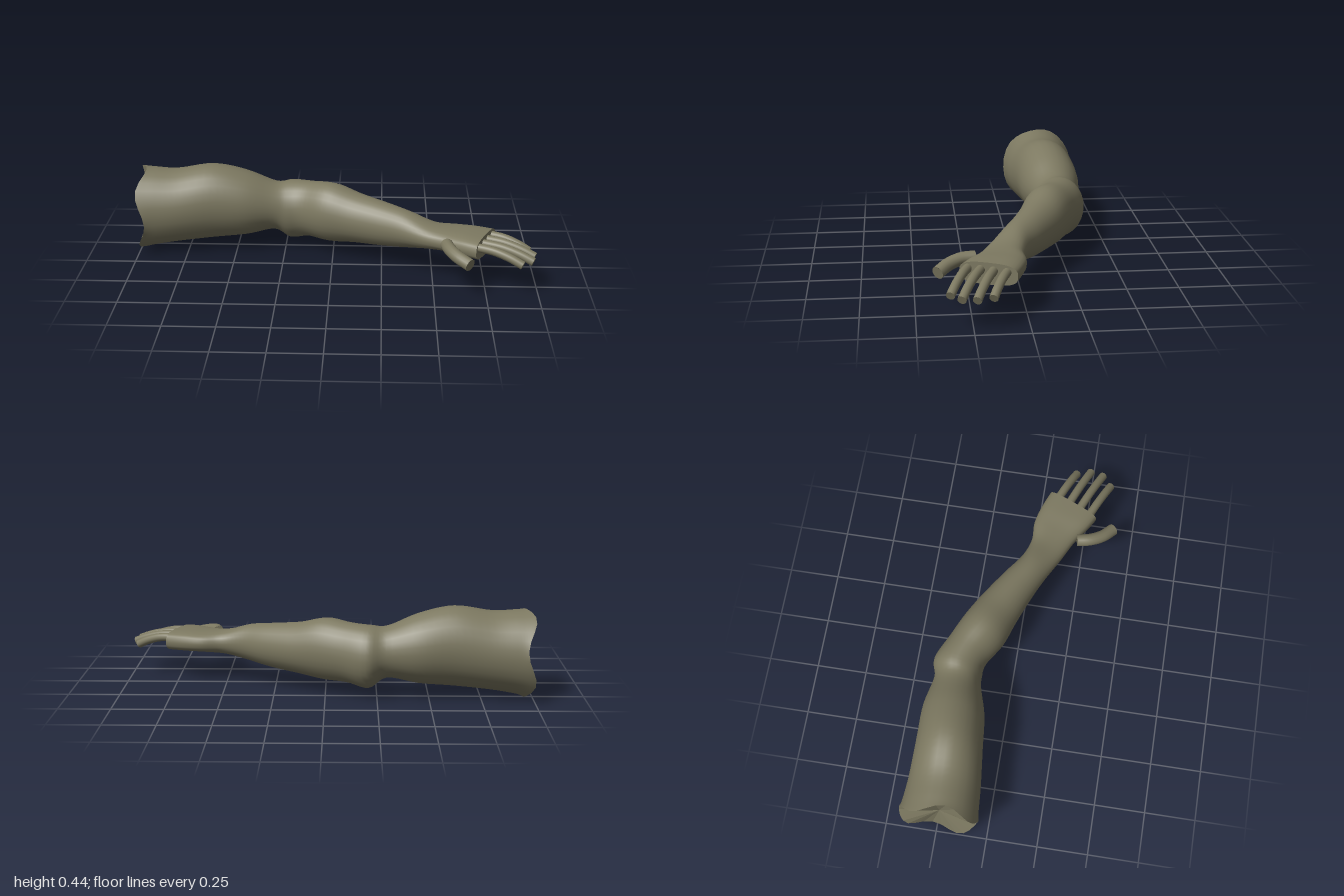
import * as THREE from 'three';

const SIDES = 28, STEPS = 75;

// Arm stations: back edge (x, z), front edge (x, z), underside y, top y, squareness
const stations = [
  [-0.978, -0.425, -0.978, -0.04, 0.0, 0.43, 2],
  [-0.92, -0.415, -0.92, -0.046, 0.015, 0.425, 2],
  [-0.8, -0.405, -0.8, -0.055, 0.035, 0.42, 2],
  [-0.62, -0.4, -0.62, -0.075, 0.055, 0.445, 2],
  [-0.45, -0.4, -0.45, -0.095, 0.07, 0.41, 2],
  [-0.29, -0.373, -0.31, -0.135, 0.097, 0.35, 2],
  [-0.19, -0.392, -0.24, -0.143, 0.048, 0.355, 2],
  [-0.06, -0.333, -0.17, -0.133, 0.066, 0.36, 2],
  [0.06, -0.277, -0.06, -0.065, 0.065, 0.37, 2],
  [0.18, -0.212, 0.07, -0.02, 0.08, 0.337, 2],
  [0.32, -0.122, 0.2, 0.03, 0.092, 0.315, 2],
  [0.43, -0.045, 0.32, 0.085, 0.11, 0.295, 2],
  [0.53, -0.012, 0.45, 0.155, 0.132, 0.257, 2.2],
  [0.63, -0.013, 0.55, 0.205, 0.14, 0.246, 2.5],
  [0.72, 0.01, 0.64, 0.265, 0.14, 0.246, 2.8],
  [0.81, 0.045, 0.7, 0.3, 0.14, 0.243, 3],
];

// Smoothly blended station at t from 0 to 1
function stationAt(t) {
  const f = t * (stations.length - 1);
  const i = Math.min(Math.floor(f), stations.length - 2), u = f - i;
  const at = (k) => stations[Math.max(0, Math.min(stations.length - 1, k))];
  return stations[0].map((_, c) => {
    const [p, q, r, s] = [at(i - 1)[c], at(i)[c], at(i + 1)[c], at(i + 2)[c]];
    return q + 0.5 * u * (r - p + u * (2 * p - 5 * q + 4 * r - s + u * (3 * (q - r) + s - p)));
  });
}

// Rounded cross-section; the upper-arm end has a ragged rim
function ring(t) {
  const [ax, az, bx, bz, low, high, n] = stationAt(t);
  const power = (v) => Math.sign(v) * Math.abs(v) ** (2 / n);
  const ragged = 0.022 * Math.max(0, 1 - t * 16);
  return Array.from({ length: SIDES }, (_, j) => {
    const a = (j / SIDES) * Math.PI * 2;
    const c = power(Math.cos(a)) / 2, s = power(Math.sin(a)) / 2;
    return new THREE.Vector3(
      (ax + bx) / 2 + c * (bx - ax) + ragged * Math.sin(4 * a + 2.4),
      (low + high) / 2 + s * (high - low),
      (az + bz) / 2 + c * (bz - az));
  });
}

function makeGeometry(points, index) {
  const g = new THREE.BufferGeometry().setFromPoints(points);
  g.setIndex(index);
  g.computeVertexNormals();
  return g;
}

function armGeometry() {
  const points = [], index = [];
  for (let i = 0; i <= STEPS; i++) points.push(...ring(i / STEPS));
  for (let i = 0; i < STEPS; i++) {
    for (let j = 0; j < SIDES; j++) {
      const k = (j + 1) % SIDES;
      const a = i * SIDES + j, b = i * SIDES + k;
      index.push(a, a + SIDES, b, b, a + SIDES, b + SIDES);
    }
  }
  return makeGeometry(points, index);
}

// Fan closing a loop of points; facing is +1 or -1 along x
function capGeometry(loop, centre, facing) {
  const points = [...loop, centre], index = [];
  loop.forEach((_, j) => {
    const k = (j + 1) % loop.length;
    index.push(loop.length, ...(facing > 0 ? [k, j] : [j, k]));
  });
  const g = makeGeometry(points, index).toNonIndexed();
  g.computeVertexNormals();
  return g;
}

function middle(loop) {
  return loop.reduce((m, p) => m.add(p), new THREE.Vector3()).divideScalar(loop.length);
}

// Curved digit with a flat tip
function digit(name, path, radius, material) {
  const group = new THREE.Group();
  group.name = name;
  const curve = new THREE.CatmullRomCurve3(path.map((p) => new THREE.Vector3(...p)));
  const tube = new THREE.Mesh(new THREE.TubeGeometry(curve, 14, radius, 14), material);
  tube.name = name + 'Shaft';
  group.add(tube);
  [[0, -1], [1, 1]].forEach(([t, sign]) => {
    const cap = new THREE.Mesh(new THREE.CircleGeometry(radius, 14), material);
    cap.name = name + (t ? 'Tip' : 'Base');
    cap.position.copy(curve.getPointAt(t));
    cap.lookAt(cap.position.clone().addScaledVector(curve.getTangentAt(t), sign));
    group.add(cap);
  });
  return group;
}

export function createModel() {
  const model = new THREE.Group();
  model.name = 'arm';
  const skin = new THREE.MeshStandardMaterial({ color: 0x7d7961 });
  skin.name = 'olive grey';
  const add = (name, geometry) => {
    const mesh = new THREE.Mesh(geometry, skin);
    mesh.name = name;
    model.add(mesh);
  };

  // Upper arm, elbow, forearm and palm in one skin
  add('armAndPalm', armGeometry());
  const rim = ring(0), knuckles = ring(1);
  const hollow = middle(rim);
  hollow.x += 0.04;
  add('upperArmEnd', capGeometry(rim, hollow, -1));
  add('palmEnd', capGeometry(knuckles, middle(knuckles), 1));

  // Four fingers: base x, z and tip x, z, all drooping towards the tip
  const fingers = {
    littleFinger: [0.77, 0.085, 0.966, 0.165],
    ringFinger: [0.75, 0.145, 0.988, 0.237],
    middleFinger: [0.73, 0.203, 0.975, 0.303],
    indexFinger: [0.70, 0.257, 0.92, 0.35],
  };
  for (const [name, [x0, z0, x1, z1]] of Object.entries(fingers)) {
    const path = [[0, 0.208], [0.4, 0.201], [0.75, 0.179], [1, 0.154]].map(
      ([t, y]) => [x0 + (x1 - x0) * t, y, z0 + (z1 - z0) * t]);
    model.add(digit(name, path, 0.021, skin));
  }

  // Thumb bending forwards from the palm edge
  model.add(digit('thumb',
    [[0.562, 0.205, 0.22], [0.577, 0.203, 0.285], [0.612, 0.19, 0.345], [0.667, 0.171, 0.395]],
    0.031, skin));
  return model;
}
